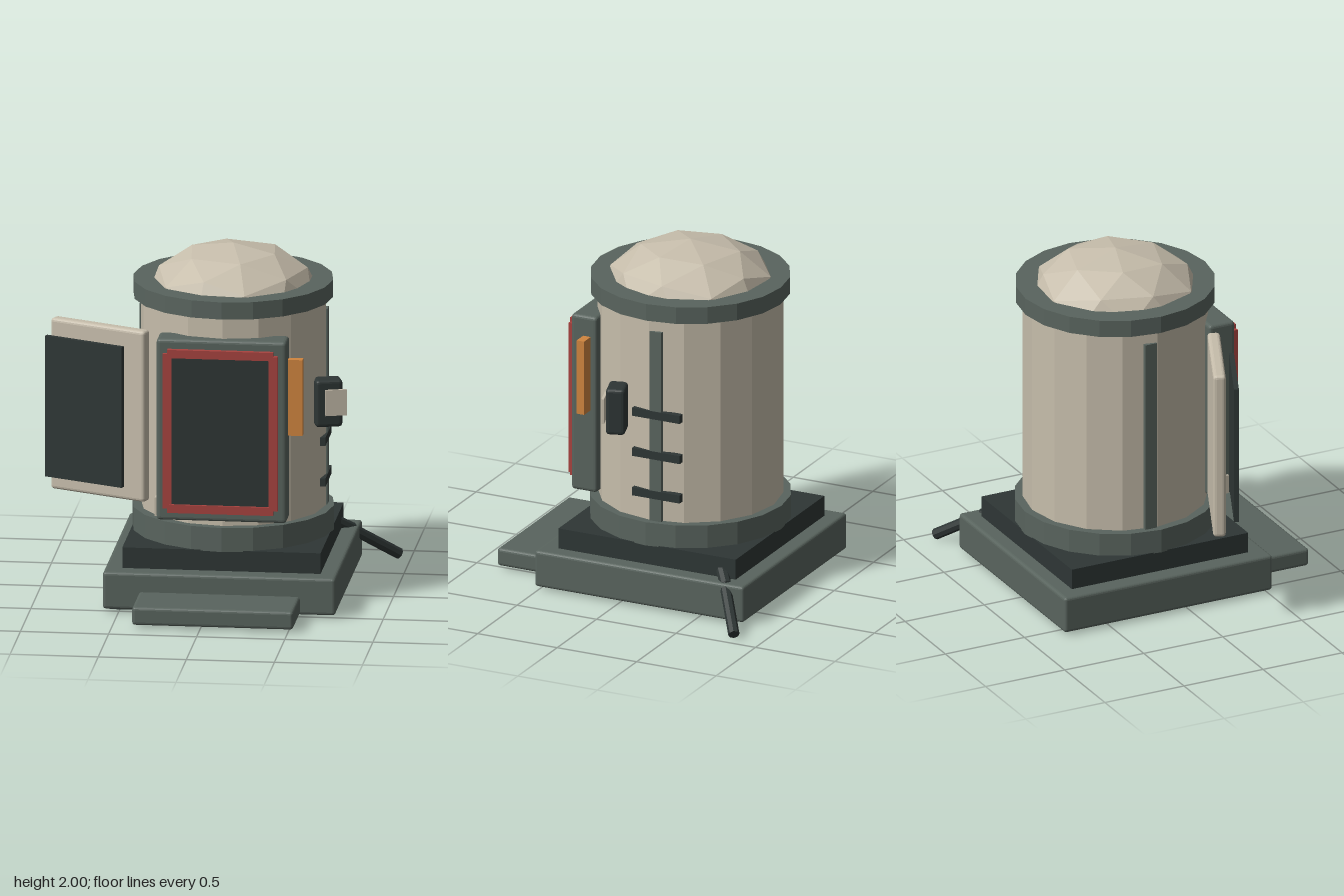
import * as THREE from 'three';
import { RoundedBoxGeometry } from 'three/addons/geometries/RoundedBoxGeometry.js';

const CX = 0.075, CZ = -0.133; // axis of the tower

export function createModel() {
  const model = new THREE.Group();
  const mat = (name, color, flatShading = false) => {
    const m = new THREE.MeshStandardMaterial({ color, flatShading });
    m.name = name;
    return m;
  };
  const green = mat('greyGreen', 0x59645e, true);
  const dark = mat('darkSlate', 0x2e3635, true);
  const cream = mat('cream', 0xc6bdab, true);
  const red = mat('red', 0xa8433f, true);
  const orange = mat('orange', 0xd0853f, true);

  const add = (name, geometry, material, x, y, z, rotY = 0) => {
    const mesh = new THREE.Mesh(geometry, material);
    mesh.name = name;
    mesh.position.set(x, y, z);
    mesh.rotation.y = rotY;
    model.add(mesh);
    return mesh;
  };
  // Box given by its limits on each axis; r > 0 rounds the edges
  const block = (name, material, [x0, x1], [y0, y1], [z0, z1], r = 0) => {
    const s = [x1 - x0, y1 - y0, z1 - z0];
    const g = r ? new RoundedBoxGeometry(...s, 2, r) : new THREE.BoxGeometry(...s);
    return add(name, g, material, (x0 + x1) / 2, (y0 + y1) / 2, (z0 + z1) / 2);
  };
  const drum = (name, material, radius, y0, y1, sides) =>
    add(name, new THREE.CylinderGeometry(radius, radius, y1 - y0, sides), material, CX, (y0 + y1) / 2, CZ);

  // Base, step and plinth
  block('base', green, [-0.59, 0.73], [0.015, 0.23], [-0.79, 0.525], 0.018);
  block('frontStep', green, [-0.385, 0.53], [0.015, 0.12], [0.45, 0.86], 0.018);
  block('plinth', dark, [-0.49, 0.635], [0.22, 0.35], [-0.695, 0.42]);
  for (const z of [-0.65, 0.41]) block('footPad', dark, [-0.555, -0.385], [0.008, 0.03], [z - 0.085, z + 0.085]);

  // Round tower with its two collars
  drum('lowerCollar', green, 0.572, 0.345, 0.485, 20);
  drum('towerBody', cream, 0.525, 0.47, 1.71, 16);
  drum('upperCollar', green, 0.567, 1.7, 1.8, 20);

  // Faceted dome
  const dome = add('dome', new THREE.IcosahedronGeometry(1, 1), cream, CX, 1.72, CZ, -0.3);
  dome.scale.set(0.485, 0.28, 0.485);

  // Front doorway: frame, red border bars and dark panel
  block('doorFrame', green, [-0.295, 0.442], [0.52, 1.577], [0.275, 0.437], 0.02);
  block('doorPanel', dark, [-0.22, 0.365], [0.61, 1.485], [0.42, 0.462]);
  for (const x of [-0.23, 0.372]) block('doorBorderSide', red, [x - 0.025, x + 0.025], [0.6, 1.5], [0.447, 0.475]);
  for (const y of [0.598, 1.501]) block('doorBorderEnd', red, [-0.23, 0.372], [y - 0.024, y + 0.024], [0.447, 0.476]);
  block('doorGrip', orange, [0.43, 0.525], [1.015, 1.457], [0.313, 0.36]);
  block('hingePlate', cream, [-0.31, -0.29], [0.53, 0.64], [0.345, 0.39]);

  // Open hatch leaf standing off to the side
  add('hatchLeaf', new RoundedBoxGeometry(0.615, 0.997, 0.072, 2, 0.02), cream, -0.648, 1.078, 0.14, -0.415);
  add('hatchLining', new THREE.BoxGeometry(0.5, 0.82, 0.028), dark, -0.73, 1.08, 0.208, -0.415);

  // Control box with its small plate
  add('controlBox', new RoundedBoxGeometry(0.155, 0.275, 0.11, 2, 0.02), dark, 0.632, 1.138, 0.052, 0.3);
  add('controlPlate', new THREE.BoxGeometry(0.122, 0.15, 0.015), cream, 0.686, 1.148, 0.106, 0.3);

  // Vertical strips on both flanks, rungs on one
  for (const s of [-1, 1]) {
    const x = CX + s * 0.515;
    block('sideStrip', green, [x - 0.018, x + 0.018], [0.48, 1.625], [-0.212, -0.14]);
  }
  for (const y of [0.642, 0.88, 1.122]) block('rung', dark, [0.572, 0.61], [y - 0.024, y + 0.024], [-0.33, -0.03]);

  // Slanted lever at the back corner: thick socket and long bar
  const rod = (name, a, b, r) => {
    const from = new THREE.Vector3(...a), to = new THREE.Vector3(...b);
    const dir = to.clone().sub(from);
    const mid = from.clone().add(to).multiplyScalar(0.5);
    const mesh = add(name, new THREE.CylinderGeometry(r, r, dir.length(), 8), dark, mid.x, mid.y, mid.z);
    mesh.quaternion.setFromUnitVectors(new THREE.Vector3(0, 1, 0), dir.normalize());
  };
  rod('leverSocket', [0.59, 0.28, -0.58], [0.69, 0.21, -0.66], 0.034);
  rod('leverBar', [0.64, 0.245, -0.62], [0.935, 0.025, -0.832], 0.032);

  return model;
}
